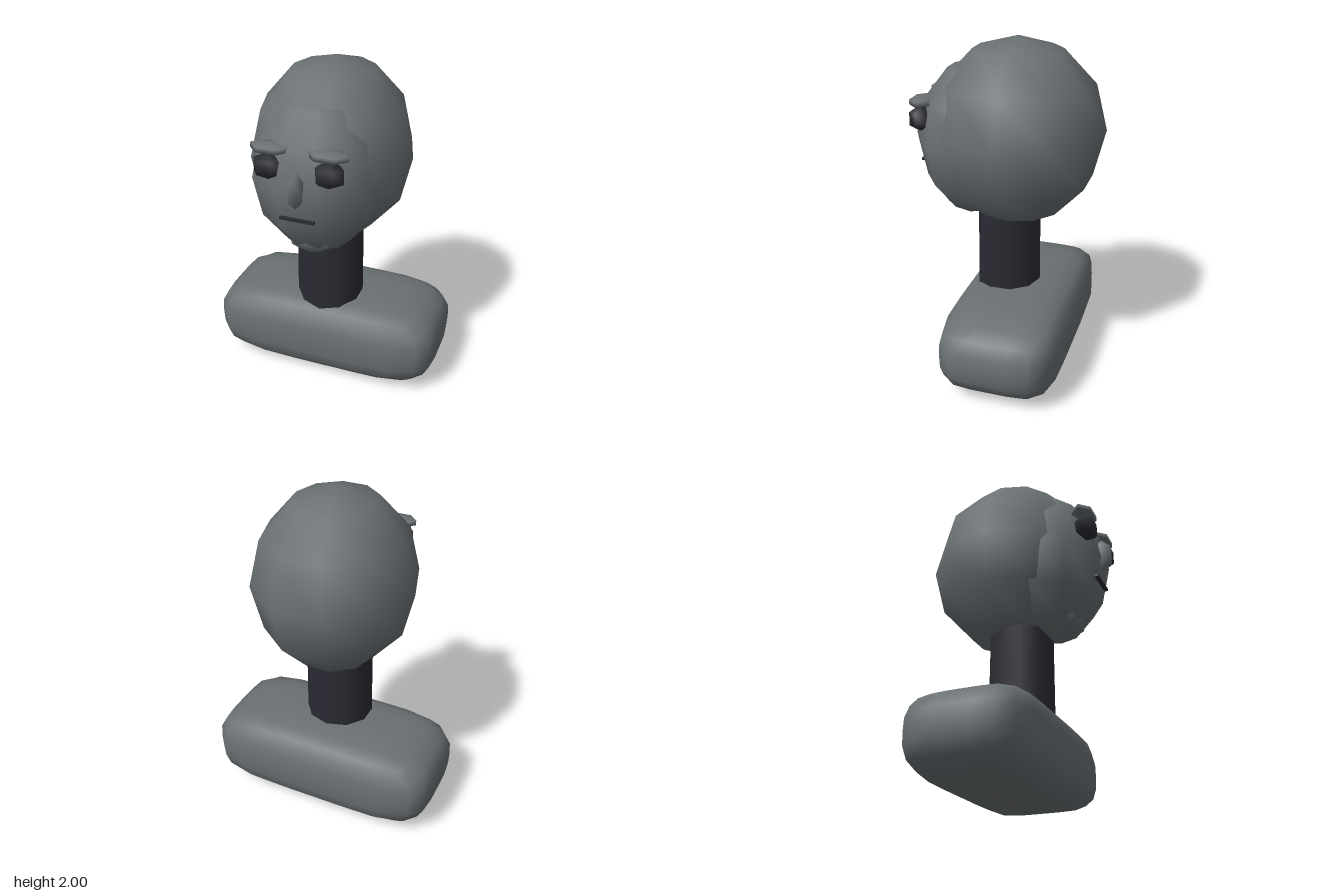
import * as THREE from 'three';
import { mergeVertices } from 'three/addons/utils/BufferGeometryUtils.js';

// Low-poly ellipsoid with smooth normals
function ellipsoid(rx, ry, rz, segments, rings) {
  return new THREE.SphereGeometry(1, segments, rings).scale(rx, ry, rz);
}

// Soft pillow-like box: a cube grid pushed onto a superellipsoid
function softBox(rx, ry, rz) {
  const a = 5.5, b = 3.4;
  let geo = new THREE.BoxGeometry(2, 2, 2, 6, 6, 6);
  geo.deleteAttribute('uv');
  geo.deleteAttribute('normal');
  geo = mergeVertices(geo);
  const p = geo.attributes.position;
  for (let i = 0; i < p.count; i++) {
    const [x, y, z] = [p.getX(i), p.getY(i), p.getZ(i)];
    const plan = Math.abs(x) ** a + Math.abs(z) ** a;
    const t = (plan ** (b / a) + Math.abs(y) ** b) ** (-1 / b);
    p.setXYZ(i, x * t * rx, y * t * ry, z * t * rz);
  }
  geo.computeVertexNormals();
  return geo;
}

export function createModel() {
  const group = new THREE.Group();
  const grey = new THREE.MeshStandardMaterial({ name: 'grey', color: 0x6a7073 });
  const dark = new THREE.MeshStandardMaterial({ name: 'charcoal', color: 0x2a2a33 });

  function add(name, geometry, material, x, y, z) {
    const mesh = new THREE.Mesh(geometry, material);
    mesh.name = name;
    mesh.position.set(x, y, z);
    group.add(mesh);
    return mesh;
  }

  // Bust base and neck
  add('shoulders', softBox(0.712, 0.255, 0.357), grey, 0, 0.258, -0.107);
  add('neck', new THREE.CylinderGeometry(0.2, 0.204, 0.62, 10).scale(1, 1, 0.955), dark, 0, 0.76, -0.022);

  // Skull with a smaller face mass set into its front
  add('skull', ellipsoid(0.475, 0.545, 0.515, 10, 6), grey, 0, 1.455, -0.07);
  add('face', ellipsoid(0.385, 0.47, 0.36, 10, 6), grey, 0, 1.4, 0.16);
  add('chin', ellipsoid(0.16, 0.1, 0.1, 8, 6), grey, 0, 1.05, 0.27);

  // Features
  add('nose', ellipsoid(0.05, 0.11, 0.073, 6, 3), grey, 0, 1.43, 0.495);
  add('mouth', new THREE.BoxGeometry(0.2, 0.014, 0.05), dark, 0, 1.25, 0.47);
  for (const [side, s] of [['left', 1], ['right', -1]]) {
    add(side + 'Eye', ellipsoid(0.096, 0.078, 0.073, 6, 3), dark, s * 0.172, 1.53, 0.455);
    add(side + 'Eyebrow', ellipsoid(0.13, 0.029, 0.08, 6, 3), grey, s * 0.163, 1.632, 0.443);
  }
  return group;
}
